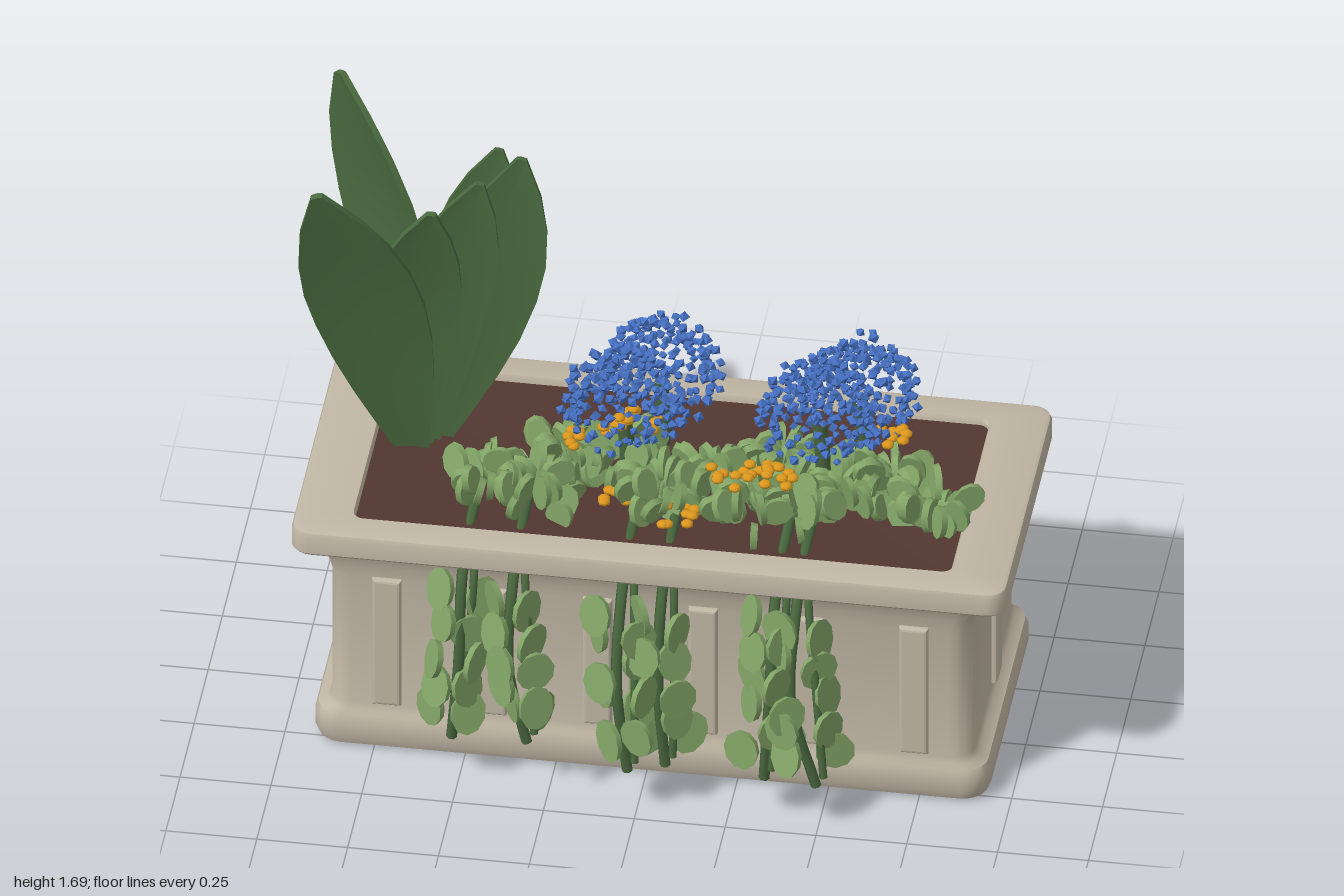
import * as THREE from 'three';
import { mergeGeometries, toCreasedNormals } from 'three/addons/utils/BufferGeometryUtils.js';

const V = (x, y, z) => new THREE.Vector3(x, y, z);
const material = (name, color) => {
  const m = new THREE.MeshStandardMaterial({ color });
  m.name = name;
  return m;
};

// Small seeded generator, returns a value in [a, b)
let seed = 7;
const rand = (a, b) => {
  seed = (seed * 16807) % 2147483647;
  return a + (b - a) * (seed / 2147483647);
};

// Skin a list of equally long closed rings
function loft(rings, crease = 0.6) {
  const n = rings[0].length, index = [];
  for (let i = 0; i < rings.length - 1; i++) {
    for (let j = 0; j < n; j++) {
      const a = i * n + j, b = i * n + (j + 1) % n;
      index.push(a, a + n, b, b, a + n, b + n);
    }
  }
  const g = new THREE.BufferGeometry().setFromPoints(rings.flat());
  g.setIndex(index);
  return toCreasedNormals(g, crease);
}

// Horizontal rounded rectangle around the planter's centre
const CX = 0.01, CZ = -0.105;
function roundedRing(y, hx, hz, r) {
  const points = [];
  for (let c = 0; c < 4; c++) {
    const sx = c === 0 || c === 3 ? 1 : -1, sz = c < 2 ? 1 : -1;
    for (let k = 0; k <= 5; k++) {
      const t = (c + k / 5) * Math.PI / 2;
      points.push(V(CX + sx * (hx - r) + r * Math.cos(t), y, CZ + sz * (hz - r) + r * Math.sin(t)));
    }
  }
  return points;
}

// Long cupped leaf from base through mid to tip, spread along the direction side
function blade(base, mid, tip, half, side) {
  const curve = new THREE.CatmullRomCurve3([base, mid, tip]);
  const profile = [0.22, 0.48, 0.72, 0.9, 0.99, 0.98, 0.84, 0.56, 0.1];
  const rings = profile.map((p, i) => {
    const t = i / (profile.length - 1), o = curve.getPoint(t), d = curve.getTangent(t);
    const n = side.clone().cross(d).normalize(), w = d.clone().cross(n).normalize();
    const h = half * p, cup = h * 0.15, th = 0.009;
    return [[h, cup - th], [h, cup + th], [0, th], [-h, cup + th], [-h, cup - th], [0, -th]]
      .map(([u, v]) => o.clone().addScaledVector(w, u).addScaledVector(n, v));
  });
  rings.unshift(Array(6).fill(base));
  rings.push(Array(6).fill(tip));
  return loft(rings, 0.5);
}

// Thick oval leaf standing upright, turned by yaw and leaning by roll and tilt
function ovalLeaf(p, yaw, roll, w, h, tilt = 0) {
  const g = new THREE.CylinderGeometry(1, 0.9, 0.018, 10).rotateX(Math.PI / 2).scale(w, h, 1);
  return g.rotateZ(roll).rotateX(tilt).rotateY(yaw).translate(p.x, p.y, p.z);
}

const stalk = (points, r) => new THREE.TubeGeometry(new THREE.CatmullRomCurve3(points), 14, r, 6);

export function createModel() {
  seed = 7;
  const group = new THREE.Group();
  const stone = material('stone', 0xc0b6a4);
  const earth = material('soil', 0x523731);
  const darkGreen = material('dark green', 0x4a6a3f);
  const stemGreen = material('stem green', 0x48663d);
  const lightGreen = material('light green', 0x84a668);
  const blue = material('blue', 0x4670c2);
  const orange = material('orange', 0xdd981d);
  const add = (name, geometry, mat) => {
    const mesh = new THREE.Mesh(geometry, mat);
    mesh.name = name;
    group.add(mesh);
    return mesh;
  };

  // Planter shell: base moulding, body, flared neck, rim and inner wall
  add('planter', loft([
    [0, 0.001, 0.001, 0.0005], [0, 0.90, 0.37, 0.06], [0.01, 0.921, 0.391, 0.07],
    [0.035, 0.93, 0.40, 0.075], [0.08, 0.93, 0.40, 0.075], [0.105, 0.921, 0.393, 0.07],
    [0.12, 0.895, 0.385, 0.06], [0.14, 0.885, 0.38, 0.06], [0.56, 0.885, 0.38, 0.06],
    [0.60, 0.895, 0.386, 0.06], [0.64, 0.912, 0.394, 0.06], [0.668, 0.935, 0.41, 0.06],
    [0.668, 0.978, 0.44, 0.05], [0.676, 0.985, 0.447, 0.055], [0.728, 0.985, 0.447, 0.055],
    [0.74, 0.98, 0.442, 0.05], [0.745, 0.968, 0.43, 0.045], [0.745, 0.825, 0.357, 0.03],
    [0.735, 0.82, 0.352, 0.03], [0.65, 0.82, 0.352, 0.03],
  ].map(a => roundedRing(...a)), 0.6), stone);

  // Soil with a shallow dip
  add('soil', loft([[0.725, 0.825, 0.355, 0.03], [0.7, 0.45, 0.02, 0.01], [0.698, 0.001, 0.001, 0.0005]]
    .map(a => roundedRing(...a))), earth);

  // Raised upright panels on all four walls
  const shape = new THREE.Shape();
  shape.moveTo(-0.03, -0.2).lineTo(0.03, -0.2).lineTo(0.03, 0.2).lineTo(-0.03, 0.2);
  const panel = new THREE.ExtrudeGeometry(shape, {
    depth: 0.02, bevelSize: 0.01, bevelThickness: 0.01, bevelSegments: 3,
  }).translate(0, 0, -0.012);
  const addPanel = (x, z, yaw) => {
    const mesh = add('panel', panel, stone);
    mesh.position.set(x, 0.36, z);
    mesh.rotation.y = yaw;
  };
  for (let i = 0; i < 6; i++) {
    const x = CX + (i - 2.5) * 0.29;
    addPanel(x, CZ + 0.38, 0);
    addPanel(x, CZ - 0.38, Math.PI);
  }
  addPanel(CX + 0.885, CZ, Math.PI / 2);
  addPanel(CX - 0.885, CZ, -Math.PI / 2);

  // Tall broad leaves
  const across = V(1, 0, -0.12).normalize();
  [
    [V(-0.70, 0.68, -0.26), V(-0.80, 1.22, -0.41), V(-0.965, 1.68, -0.51), 0.175, V(0.72, 0, 0.69)],
    [V(-0.70, 0.68, -0.15), V(-0.815, 1.22, -0.07), V(-0.945, 1.665, 0.045), 0.155, across],
    [V(-0.69, 0.68, -0.17), V(-0.70, 1.2, -0.14), V(-0.65, 1.54, -0.09), 0.12, across],
    [V(-0.68, 0.68, -0.19), V(-0.62, 1.22, -0.18), V(-0.53, 1.59, -0.18), 0.12, across],
    [V(-0.66, 0.68, -0.21), V(-0.51, 1.22, -0.22), V(-0.425, 1.635, -0.25), 0.135, across],
    [V(-0.67, 0.68, -0.25), V(-0.57, 1.25, -0.28), V(-0.50, 1.6, -0.33), 0.12, across],
  ].forEach(a => add('tallLeaf', blade(...a), darkGreen));

  // Low leafy clumps on the soil
  const clumps = [[-0.47, 0.06], [-0.33, 0.09], [-0.27, -0.08], [-0.12, -0.1], [0.01, 0.05],
    [0.14, -0.04], [0.25, 0.08], [0.31, -0.14], [0.37, 0.03], [0.5, -0.04], [0.62, -0.1], [0.75, 0]];
  for (const [x, z] of clumps) {
    const leaves = [];
    for (let i = 0; i < 18; i++) {
      const a = i * 2.4, r = rand(0.03, 0.1);
      const p = V(x + r * Math.cos(a), rand(0.75, 0.86) - r * 0.3, z + r * Math.sin(a));
      leaves.push(ovalLeaf(p, -a + rand(-0.4, 0.4), rand(-0.9, 0.1), 0.04, 0.054, rand(-0.35, 0.35)));
    }
    add('leafClump', mergeGeometries(leaves), lightGreen);
  }

  // Trailing strands over the front, with oval leaves
  for (const [x, end, low] of [[-0.5, -0.52, 0.14], [-0.36, -0.31, 0.16], [-0.06, -0.03, 0.11],
    [0.05, 0.07, 0.12], [0.36, 0.345, 0.12], [0.42, 0.49, 0.12]]) {
    const z = rand(0.38, 0.44);
    const path = [V(x, 0.73, 0.06), V(x, 0.705, 0.22), V(x, 0.63, 0.34), V(x, 0.4, z), V(end, low, z)];
    add('trailingStem', stalk(path, 0.015), stemGreen);
    add('trailingStem', stalk([V(x, 0.71, 0.1), V(x + 0.03, 0.64, 0.31), V((x + end) / 2 + 0.03, 0.42, z - 0.03),
      V(end + 0.025, low + 0.05, z + 0.03)], 0.011), stemGreen);
    const leaves = [];
    for (let i = 0; i < 10; i++) {
      const s = i % 2 ? 1 : -1, t = i / 9, out = rand(0.03, 0.065);
      const p = V(x + (end - x) * t + s * out, 0.6 - t * (0.38 - (low - 0.12)), z - 0.05 + t * 0.04 + rand(-0.04, 0.1));
      leaves.push(ovalLeaf(p, s * rand(0.4, 1.2), s * rand(-0.6, 0.6), 0.054, 0.063, rand(-0.3, 0.1)));
    }
    add('trailingLeaves', mergeGeometries(leaves), lightGreen);
  }

  // Blue domed flower heads on thick stems
  for (const [x, y, z] of [[-0.04, 0.975, -0.22], [-0.12, 0.96, -0.08], [0.51, 0.975, -0.21], [0.42, 0.985, -0.08]]) {
    add('flowerStem', stalk([V(x, 0.68, z), V(x + 0.01, 0.8, z), V(x, y - 0.02, z)], 0.022), stemGreen);
    const florets = [];
    for (let i = 0; i < 170; i++) {
      const h = 1 - 1.4 * (i + 0.5) / 170, a = i * 2.39996, r = rand(0.125, 0.172), q = Math.sqrt(1 - h * h);
      florets.push(new THREE.OctahedronGeometry(rand(0.013, 0.018)).rotateX(a).rotateZ(i)
        .translate(x + r * q * Math.cos(a), y + r * h, z + r * q * Math.sin(a)));
    }
    add('blueFlowerHead', mergeGeometries(florets), blue);
  }

  // Small orange blossoms in loose groups
  for (const [x, y, z] of [[-0.24, 0.92, 0.02], [-0.13, 0.945, -0.03], [-0.06, 0.91, -0.08], [0.28, 0.895, 0.07],
    [0.35, 0.9, 0.1], [-0.1, 0.765, 0.09], [0.06, 0.765, 0.13], [0.19, 0.89, 0.12], [0.63, 0.935, -0.09]]) {
    const blossoms = [];
    for (let i = 0; i < 8; i++) {
      blossoms.push(new THREE.SphereGeometry(1, 7, 5).scale(0.018, 0.011, 0.018)
        .translate(x + rand(-0.05, 0.05), y + rand(-0.012, 0.012), z + rand(-0.05, 0.05)));
    }
    add('orangeBlossoms', mergeGeometries(blossoms), orange);
  }

  return group;
}
